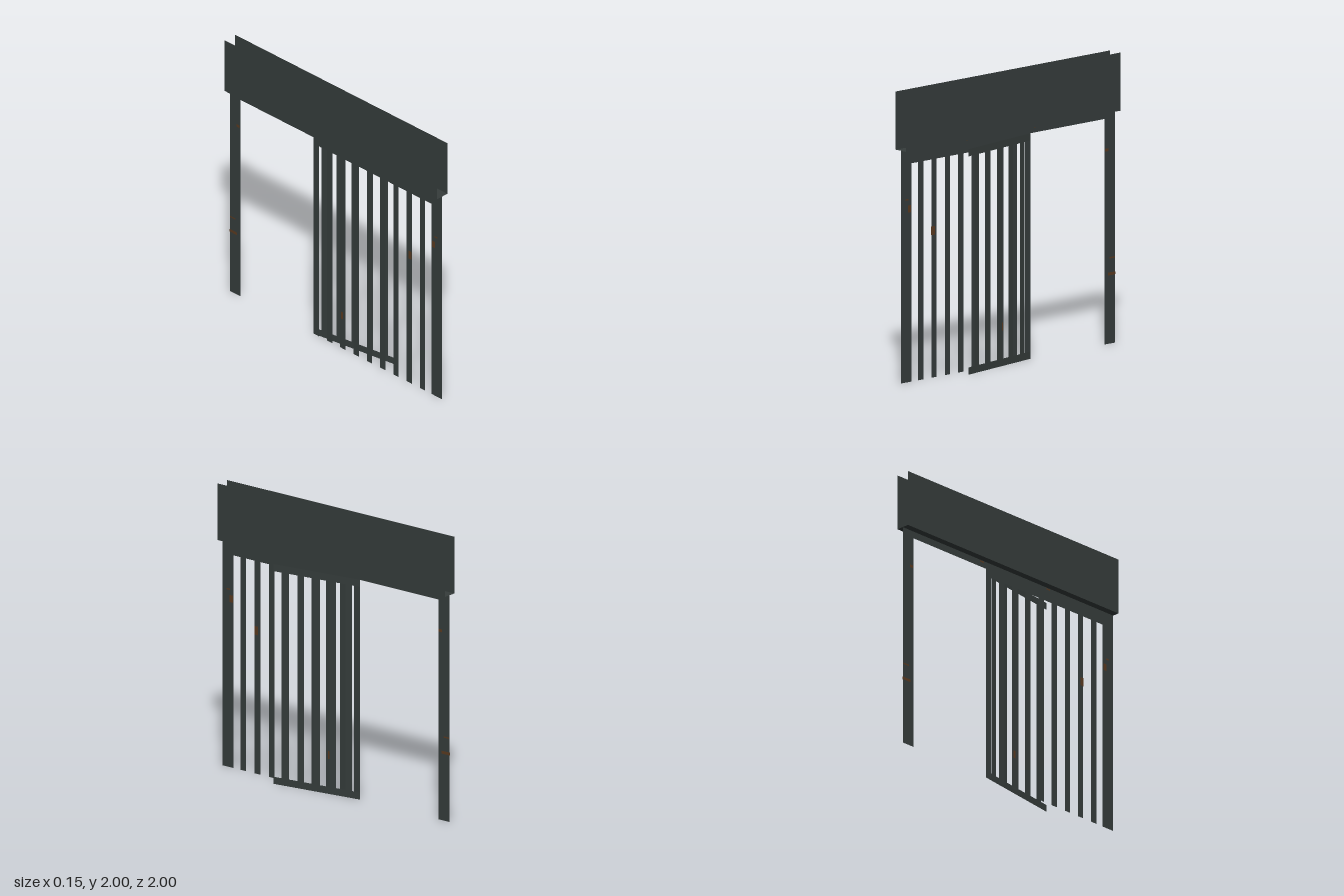
import * as THREE from 'three';

export function createModel() {
  const model = new THREE.Group();
  const iron = new THREE.MeshStandardMaterial({ name: 'dark iron', color: 0x363d3c, side: THREE.DoubleSide });
  const rust = new THREE.MeshStandardMaterial({ name: 'rust', color: 0x5a3a20, side: THREE.DoubleSide });

  // Flat sheet in the z/y plane, facing +x
  function sheet(parent, name, z0, z1, y0, y1, x = 0, material = iron) {
    const geometry = new THREE.PlaneGeometry(z1 - z0, y1 - y0).rotateY(Math.PI / 2);
    const mesh = new THREE.Mesh(geometry, material);
    mesh.name = name;
    mesh.position.set(x, (y0 + y1) / 2, (z0 + z1) / 2);
    parent.add(mesh);
    return mesh;
  }

  // Header: an open channel of two side plates and a floor
  const header = new THREE.Group();
  header.name = 'header';
  sheet(header, 'headerPlateLeft', -1, 1, 1.6, 2, 0.02);
  sheet(header, 'headerPlateRight', -1, 1, 1.6, 2, -0.08);
  const floor = new THREE.Mesh(new THREE.PlaneGeometry(0.1, 2).rotateX(-Math.PI / 2), iron);
  floor.name = 'headerFloor';
  floor.position.set(-0.03, 1.6, 0);
  header.add(floor);
  model.add(header);

  // Fixed frame with its row of bars
  const fence = new THREE.Group();
  fence.name = 'fixedFence';
  fence.position.x = -0.03;
  sheet(fence, 'frontPost', 0.9, 1, 0, 1.6);
  sheet(fence, 'backPost', -1, -0.9, 0, 1.6);
  sheet(fence, 'fenceTopRail', -0.21, 0.9, 1.5, 1.6);
  sheet(fence, 'doorwayTopRail', -0.9, -0.21, 1.55, 1.6);
  for (let i = 0; i < 9; i++) {
    const z = 0.815 - i * 0.125;
    sheet(fence, 'fenceBar', z - 0.025, z + 0.025, 0, 1.5);
  }
  model.add(fence);

  // Gate swung open against the fence, hinged at the doorway
  const gate = new THREE.Group();
  gate.name = 'gate';
  const length = Math.hypot(0.1, 0.675);
  gate.position.set(-0.03, 0, -0.21);
  gate.rotation.y = Math.atan2(0.1, 0.675);
  sheet(gate, 'gateBottomRail', 0, length, 0, 0.05);
  sheet(gate, 'gateTopRail', 0, length, 1.5, 1.55);
  for (let i = -2; i <= 2; i++) {
    const z = length / 2 + i * 0.126;
    sheet(gate, 'gateBar', z - 0.025, z + 0.025, 0.05, 1.5);
  }
  model.add(gate);

  // Rust patches: centre z, centre y, width, height
  const patches = [
    [0.92, 1.19, 0.03, 0.05], [0.945, 1.255, 0.03, 0.01], [0.7, 1.01, 0.03, 0.06],
    [0.06, 0.26, 0.02, 0.055], [-0.92, 1.335, 0.03, 0.02], [-0.965, 0.48, 0.07, 0.02],
    [-0.97, 0.59, 0.05, 0.01], [0.38, 1.59, 0.03, 0.01], [-0.25, 1.59, 0.04, 0.01],
  ];
  for (const [z, y, w, h] of patches) {
    for (const x of [-0.002, 0.002]) {
      sheet(fence, 'rustPatch', z - w / 2, z + w / 2, y - h / 2, y + h / 2, x, rust);
    }
  }

  return model;
}
